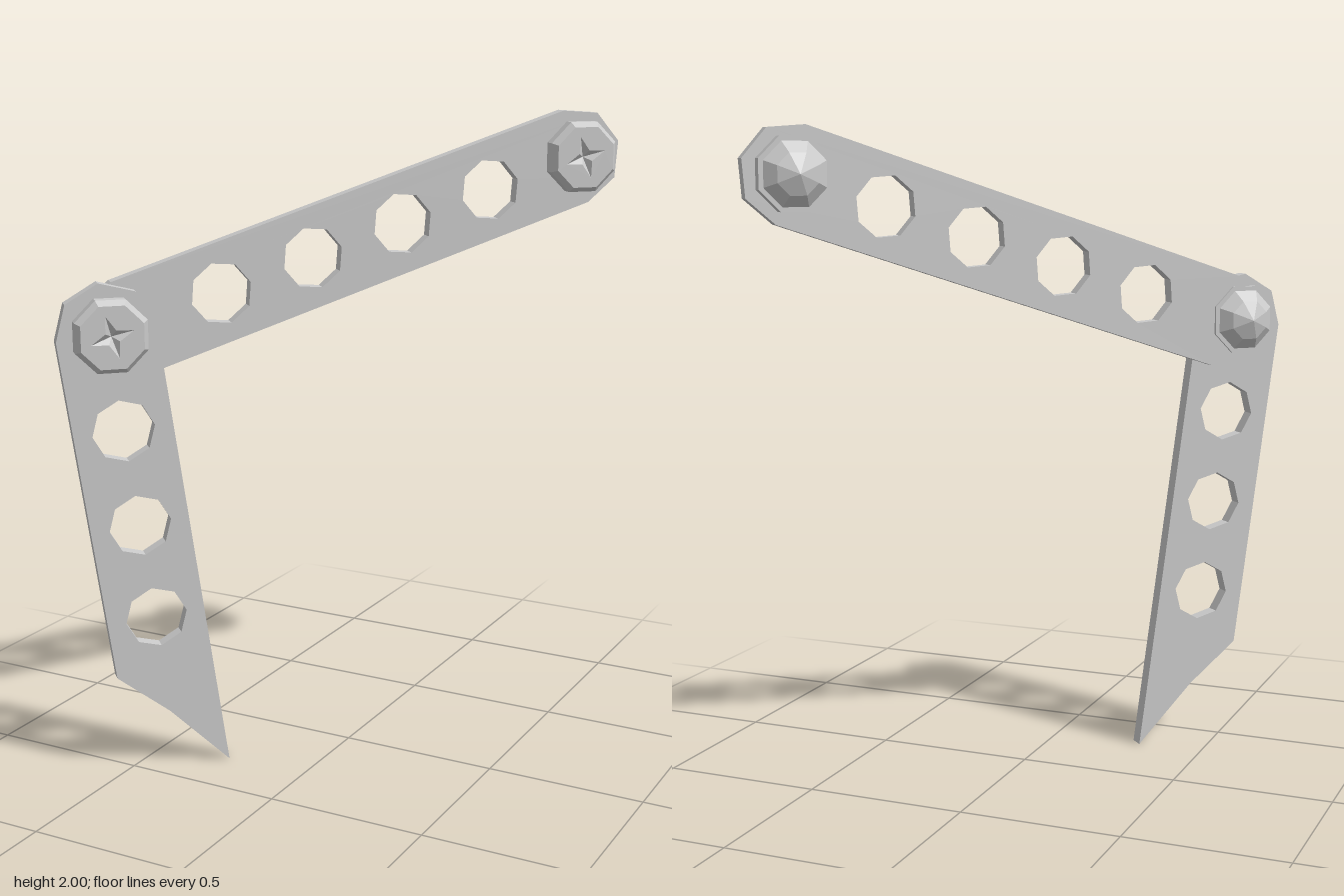
import * as THREE from 'three';

const mat = new THREE.MeshStandardMaterial({ color: 0xcccccc, flatShading: true });
const THICK = 0.043;

// Regular octagon or star points around (cx, cy)
function ring(cx, cy, radii, count, start) {
  return Array.from({ length: count }, (_, i) => {
    const a = start + (i / count) * Math.PI * 2;
    const r = radii[i % radii.length];
    return new THREE.Vector2(cx + r * Math.cos(a), cy + r * Math.sin(a));
  });
}

// Flat perforated bar; outline and holes lie along its own x axis
function bar(name, outline, holes, z) {
  const shape = new THREE.Shape(outline);
  for (const s of holes) shape.holes.push(new THREE.Path(ring(s, 0, [0.095], 8, 0)));
  const geo = new THREE.ExtrudeGeometry(shape, { depth: THICK, bevelEnabled: false });
  geo.translate(0, 0, z);
  const mesh = new THREE.Mesh(geo, mat);
  mesh.name = name;
  return mesh;
}

// Half octagon end cap, from angle a0 to a0 + 180 degrees
function cap(cx, r, a0) {
  return ring(cx, 0, [r], 8, a0).slice(0, 5);
}

// Eight-sided turned part whose axis is z
function turned(name, profile) {
  const pts = profile.map(([r, z]) => new THREE.Vector2(r, z));
  const geo = new THREE.LatheGeometry(pts, 8, Math.PI / 8);
  geo.rotateX(Math.PI / 2);
  const mesh = new THREE.Mesh(geo, mat);
  mesh.name = name;
  return mesh;
}

function bolt(name) {
  const g = new THREE.Group();
  g.name = name;
  const front = 0.055;

  // Domed cap nut at the back
  g.add(turned('capNut', [[0, -0.182], [0.065, -0.157], [0.1, -0.125], [0.115, -0.125],
    [0.115, -0.09], [0, -0.09]]));
  g.add(turned('shank', [[0.088, -0.09], [0.088, 0.002]]));
  // Bevelled head
  g.add(turned('head', [[0, 0.0], [0.116, 0.0], [0.116, 0.035], [0.1, front]]));

  // Head face with a star-shaped drive recess
  const star = ring(0, 0, [0.066, 0.024], 8, 0.3);
  const face = new THREE.Shape(ring(0, 0, [0.1], 8, Math.PI / 8));
  face.holes.push(new THREE.Path(star));
  const faceMesh = new THREE.Mesh(new THREE.ShapeGeometry(face).translate(0, 0, front), mat);
  faceMesh.name = 'headFace';
  g.add(faceMesh);

  const pos = [];
  star.forEach((p, i) => {
    const q = star[(i + 1) % 8];
    pos.push(0, 0, front - 0.025, p.x, p.y, front, q.x, q.y, front);
  });
  const recessGeo = new THREE.BufferGeometry();
  recessGeo.setAttribute('position', new THREE.Float32BufferAttribute(pos, 3));
  recessGeo.computeVertexNormals();
  const recess = new THREE.Mesh(recessGeo, mat);
  recess.name = 'driveRecess';
  g.add(recess);
  return g;
}

export function createModel() {
  const model = new THREE.Group();
  model.name = 'jointedArm';
  const H = Math.PI / 2;

  // Upper bar: octagonal ends, four holes
  const upper = bar('upperBar', [...cap(1.5, 0.15, -H), ...cap(0, 0.15, H)],
    [0.3, 0.6, 0.9, 1.2], -0.041);
  upper.position.set(-0.683, 1.394, 0);
  upper.rotation.z = Math.atan2(0.0935, 0.286);
  model.add(upper);

  // Lower bar: octagonal top, three holes, pointed foot
  const V = (x, y) => new THREE.Vector2(x, y);
  const lower = bar('lowerBar', [...cap(0, 0.15, H), V(1.068, -0.152), V(1.216, -0.01), V(1.427, 0.15)],
    [0.3, 0.6, 0.9], -0.006);
  lower.position.set(-0.752, 1.392, 0);
  lower.rotation.z = -Math.atan2(0.99, 0.137);
  model.add(lower);

  // Bolts at the free end and the elbow
  const endBolt = bolt('endBolt');
  endBolt.position.set(0.752, 1.862, 0);
  const elbowBolt = bolt('elbowBolt');
  elbowBolt.position.set(-0.75, 1.396, 0.076);
  model.add(endBolt, elbowBolt);

  // The arm stands in a diagonal vertical plane
  model.rotation.y = Math.PI / 4;
  const root = new THREE.Group();
  root.name = 'model';
  root.add(model);
  return root;
}
